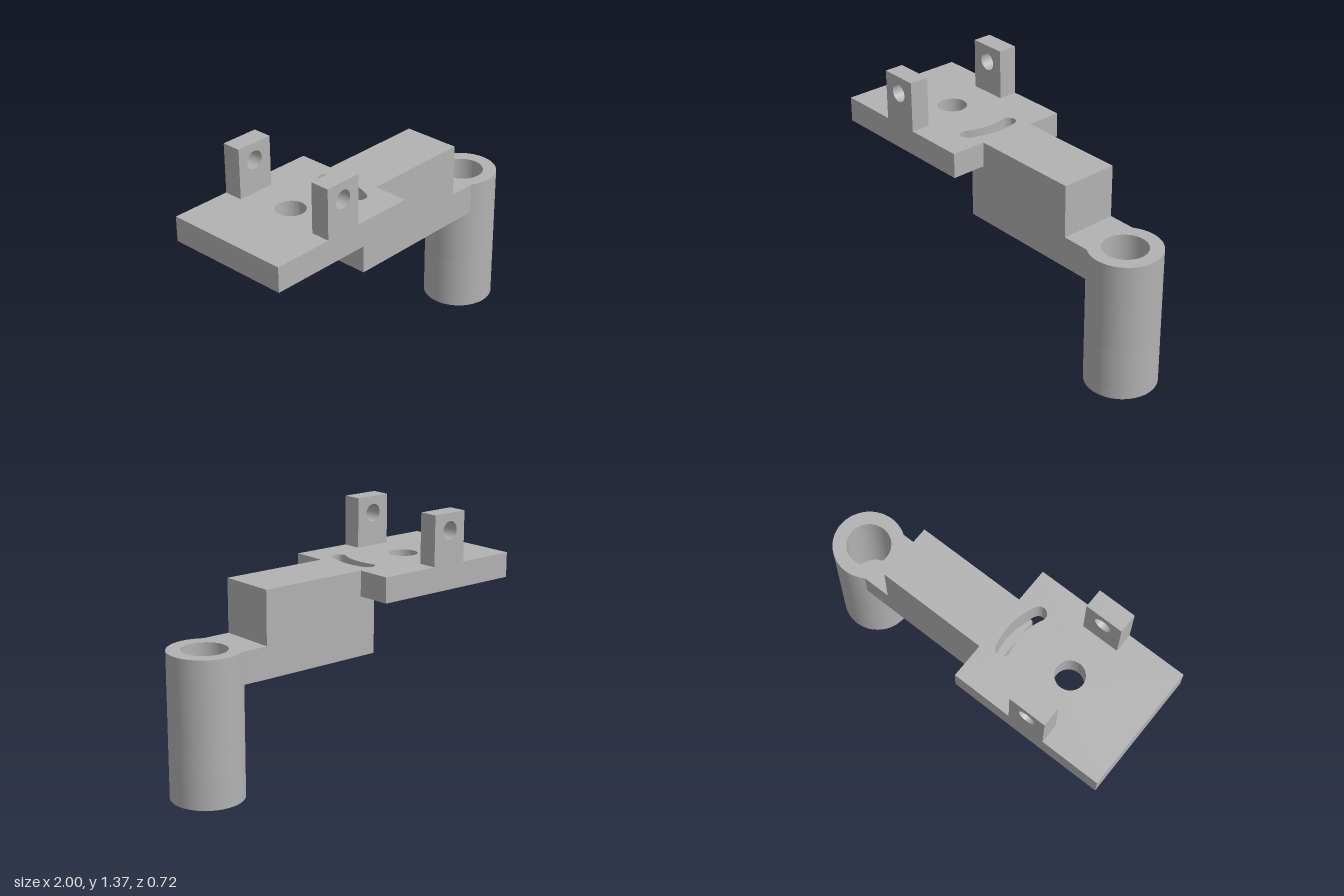
import * as THREE from 'three';
import { toCreasedNormals } from 'three/addons/utils/BufferGeometryUtils.js';

const V = (x, y) => new THREE.Vector2(x, y);
const HOLE = V(-0.555, 0); // pivot hole, also centre of the curved slot
const POST = V(0.8, 0);
const HALF = 0.163; // half width of the arm
const SLOT = { r: 0.366, w: 0.04, a0: -0.28, a1: 0.471 };

const polar = (c, r, a) => V(c.x + r * Math.cos(a), c.y + r * Math.sin(a));
const arc = (c, r, a, b, n = 24) =>
  Array.from({ length: n + 1 }, (_, i) => polar(c, r, a + ((b - a) * i) / n));
const circle = (c, r, n = 64) => arc(c, r, 0, Math.PI * 2, n).slice(0, -1);
const rect = (x0, y0, x1, y1) => [V(x0, y0), V(x1, y0), V(x1, y1), V(x0, y1)];

export function createModel() {
  const group = new THREE.Group();
  const grey = new THREE.MeshStandardMaterial({ color: 0xb2b2b2 });
  grey.name = 'grey';

  const extrude = (outline, holes, depth) => {
    const shape = new THREE.Shape(outline);
    shape.holes = holes.map((h) => new THREE.Path(h));
    return new THREE.ExtrudeGeometry(shape, { depth, bevelEnabled: false });
  };
  const add = (name, geometry) => {
    const mesh = new THREE.Mesh(toCreasedNormals(geometry, 0.5), grey);
    mesh.name = name;
    group.add(mesh);
  };
  // Plan outline (x, z) extruded from y0 up to y1
  const slab = (name, outline, holes, y0, y1) =>
    add(name, extrude(outline, holes, y1 - y0).rotateX(Math.PI / 2).translate(0, y1, 0));

  // Mounting plate with round hole and curved slot
  const { r, w, a0, a1 } = SLOT;
  const slotStart = polar(HOLE, r, a0), slotEnd = polar(HOLE, r, a1);
  const slot = [
    ...arc(HOLE, r + w, a0, a1),
    ...arc(slotEnd, w, a1, a1 + Math.PI, 12).slice(1),
    ...arc(HOLE, r - w, a1, a0).slice(1),
    ...arc(slotStart, w, a0 + Math.PI, a0 + Math.PI * 2, 12).slice(1, -1),
  ];
  slab('plate', rect(-1, -0.361, -0.1, 0.361), [circle(HOLE, 0.08, 48), slot], 0.95, 1.09);

  // Pair of lugs with cross holes
  for (const z of [-0.361, 0.253]) {
    add('lug', extrude(rect(-0.66, 1.09, -0.445, 1.37), [circle(V(-0.555, 1.275), 0.05, 40)], 0.108)
      .translate(0, 0, z));
  }

  // Arm block, stepped under the plate
  const blockProfile = [
    V(-0.195, 0.62), V(0.53, 0.62), V(0.53, 1.09), V(-0.1, 1.09), V(-0.1, 0.93), V(-0.195, 0.93),
  ];
  add('armBlock', extrude(blockProfile, [], HALF * 2).translate(0, 0, -HALF));

  // Thin layer of the block where the slot bottoms out
  const exit = Math.asin(HALF / (r + w));
  slab('slotFloorRim', [
    V(-0.195, -HALF), V(-0.1, -HALF), V(-0.1, HALF),
    ...arc(HOLE, r + w, exit, a0),
    ...arc(slotStart, w, a0, -1.37, 8).slice(1),
  ], [], 0.93, 0.95);

  // Low neck that meets the round post
  const R = 0.197, top = 0.795;
  const meet = Math.PI - Math.asin(HALF / R);
  slab('neck', [
    V(0.53, -HALF), ...arc(POST, R, Math.PI * 2 - meet, meet, 20), V(0.53, HALF),
  ], [], 0.62, top);

  // Post: hexagonal nut pocket, narrow bore, wide bore
  const post = circle(POST, R);
  slab('postNutPocket', post, [circle(POST, 0.135, 6)], 0, 0.06);
  slab('postNarrowBore', post, [circle(POST, 0.08)], 0.06, 0.3);
  slab('postWideBore', post, [circle(POST, 0.122)], 0.3, top);

  return group;
}
